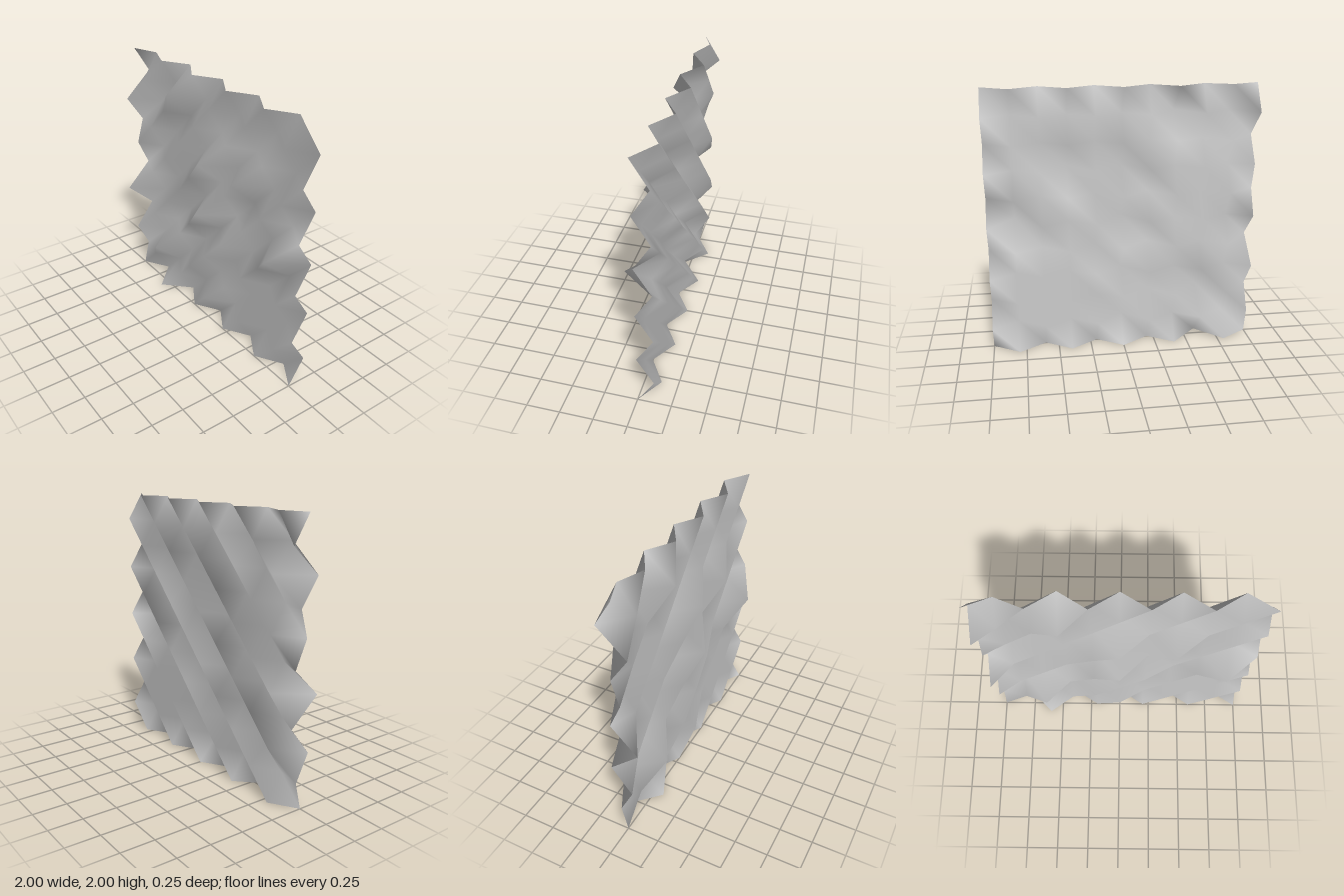
import * as THREE from 'three';

// Folded sheet: a 10 x 10 grid with alternating diagonal ridges and valleys.
const CELLS = 10, SIZE = 2, VALLEY = -0.125;

// Raised or shallower grid points: [column, row, depth], rows counted from the bottom.
const bumps = [
  [0, 1, -0.045], [0, 2, 0.055], [0, 3, -0.1], [0, 4, 0.12], [0, 5, -0.08],
  [0, 6, 0.01], [0, 7, -0.045], [0, 8, 0.09], [1, 10, -0.08], [1, 9, 0.05],
  [2, 0, 0.075], [2, 2, 0.12], [3, 9, 0.1], [5, 1, 0.05],
  [4, 2, 0.05], [5, 3, 0.05], [6, 4, 0.045], [4, 4, 0.045],
  [5, 5, 0.125], [9, 5, 0.125], [4, 6, 0.045], [5, 7, 0.1], [7, 7, 0.1],
];

export function createModel() {
  const group = new THREE.Group();
  group.name = 'foldedPanel';

  const geometry = new THREE.PlaneGeometry(SIZE, SIZE, CELLS, CELLS);
  geometry.translate(0, SIZE / 2, 0);
  const position = geometry.attributes.position;
  const index = (column, row) => (CELLS - row) * (CELLS + 1) + column;

  // Regular folds: ridges at zero depth, valleys behind
  for (let row = 0; row <= CELLS; row++) {
    for (let column = 0; column <= CELLS; column++) {
      position.setZ(index(column, row), (column + row) % 2 ? VALLEY : 0);
    }
  }
  // Irregular peaks
  for (const [column, row, depth] of bumps) position.setZ(index(column, row), depth);
  geometry.computeVertexNormals();

  const sheet = new THREE.Mesh(
    geometry,
    new THREE.MeshStandardMaterial({ color: 0xcccccc, side: THREE.DoubleSide })
  );
  sheet.name = 'creasedSheet';
  group.add(sheet);
  return group;
}
